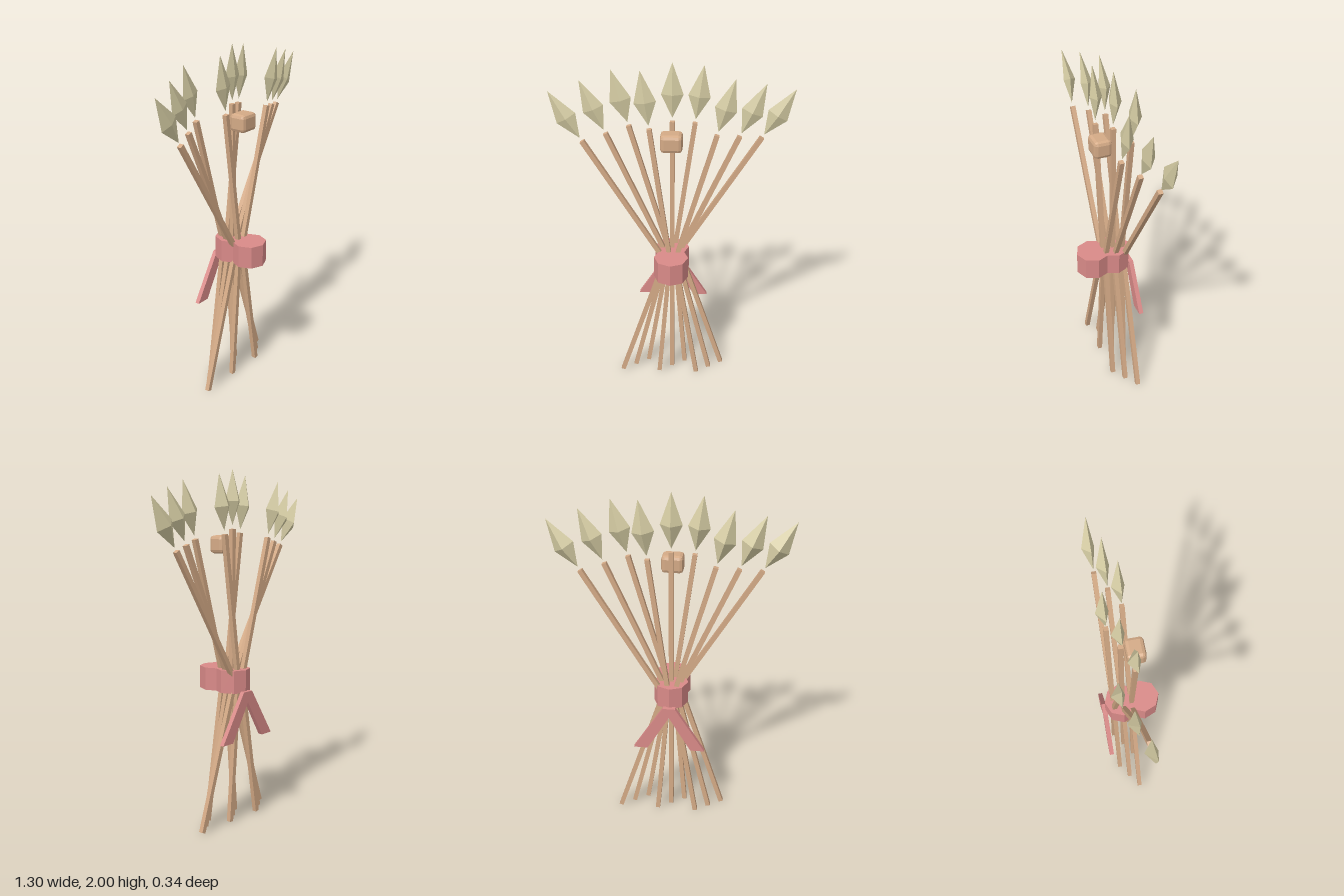
import * as THREE from 'three';
import { RoundedBoxGeometry } from 'three/addons/geometries/RoundedBoxGeometry.js';

const makeMaterial = (name, color) => {
  const m = new THREE.MeshStandardMaterial({ color, flatShading: true });
  m.name = name;
  return m;
};

// Hard facets for every part
function faceted(geometry) {
  const g = geometry.index ? geometry.toNonIndexed() : geometry;
  g.computeVertexNormals();
  return g;
}

// Four-sided point standing on its lower tip, thicker towards the back
function arrowheadGeometry(length, halfWidth, front, back) {
  const mid = length * 0.43;
  const ring = [[halfWidth, mid, 0], [0, mid, front], [-halfWidth, mid, 0], [0, mid, -back]];
  const points = [];
  ring.forEach((a, i) => {
    const b = ring[(i + 1) % 4];
    points.push(...b, ...a, 0, length, 0);
    points.push(...a, ...b, 0, 0, 0);
  });
  // wind every facet outwards
  const g = new THREE.BufferGeometry();
  const flipped = [];
  for (let i = 0; i < points.length; i += 9) {
    const [a, b, c] = [0, 3, 6].map((o) => new THREE.Vector3(...points.slice(i + o, i + o + 3)));
    const normal = b.clone().sub(a).cross(c.clone().sub(a));
    const outward = a.clone().add(b).add(c).divideScalar(3).sub(new THREE.Vector3(0, mid, -0.01));
    const order = normal.dot(outward) > 0 ? [a, b, c] : [a, c, b];
    order.forEach((p) => flipped.push(p.x, p.y, p.z));
  }
  g.setAttribute('position', new THREE.Float32BufferAttribute(flipped, 3));
  g.computeVertexNormals();
  return g;
}

export function createModel() {
  const model = new THREE.Group();
  model.name = 'arrowBundle';
  const wood = makeMaterial('wood', 0xd4aa86);
  const stone = makeMaterial('paleStone', 0xd6cda4);
  const cloth = makeMaterial('pinkCloth', 0xd98a88);

  const add = (name, geometry, material, x = 0, y = 0, z = 0) => {
    const mesh = new THREE.Mesh(geometry, material);
    mesh.name = name;
    mesh.position.set(x, y, z);
    model.add(mesh);
    return mesh;
  };

  // Square rod between two points in a plane of constant z
  const addRod = (name, x0, y0, x1, y1, z) => {
    const length = Math.hypot(x1 - x0, y1 - y0);
    const rod = add(name, new THREE.BoxGeometry(0.026, length, 0.026), wood, (x0 + x1) / 2, (y0 + y1) / 2, z);
    rod.rotation.z = -Math.atan2(x1 - x0, y1 - y0);
    return rod.rotation.z;
  };

  // Nine arrows fanned above and below the tie, in three staggered rows
  const headGeometry = arrowheadGeometry(0.305, 0.06, 0.022, 0.046);
  for (let i = 0; i < 9; i++) {
    const k = i - 4;
    const z = 0.002 - (i % 3) * 0.0525;
    const waistX = k * 0.01;
    const topX = k * 0.1212;
    const topY = 1.675 - Math.abs(k) * 0.026;
    addRod('lowerShaft', k * 0.0765, 0.006, waistX, 0.83, z);
    const tilt = addRod('upperShaft', waistX, 0.83, topX, topY, z);
    const head = add('arrowhead', headGeometry, stone,
      topX - Math.sin(tilt) * 0.02, topY + Math.cos(tilt) * 0.02, z);
    head.rotation.z = tilt;
  }

  // Chamfered block on the middle shaft
  add('woodBlock', faceted(new RoundedBoxGeometry(0.12, 0.1, 0.1, 1, 0.02)), wood, 0, 1.588, 0.024);

  // Two overlapping octagonal wraps form the tie
  for (const z of [0.069, -0.055]) {
    add('tieWrap', faceted(new THREE.CylinderGeometry(0.098, 0.098, 0.13, 8)), cloth, 0, 0.825, z);
  }

  // Hanging ribbon ends at the back
  for (const s of [1, -1]) {
    const shape = new THREE.Shape([
      new THREE.Vector2(s * -0.035, 0.77),
      new THREE.Vector2(s * 0.035, 0.77),
      new THREE.Vector2(s * 0.206, 0.494),
      new THREE.Vector2(s * 0.125, 0.494),
    ]);
    add('ribbonEnd', faceted(new THREE.ExtrudeGeometry(shape, { depth: 0.026, bevelEnabled: false })),
      cloth, 0, 0, -0.171 + (s > 0 ? 0 : 0.001));
  }
  return model;
}
